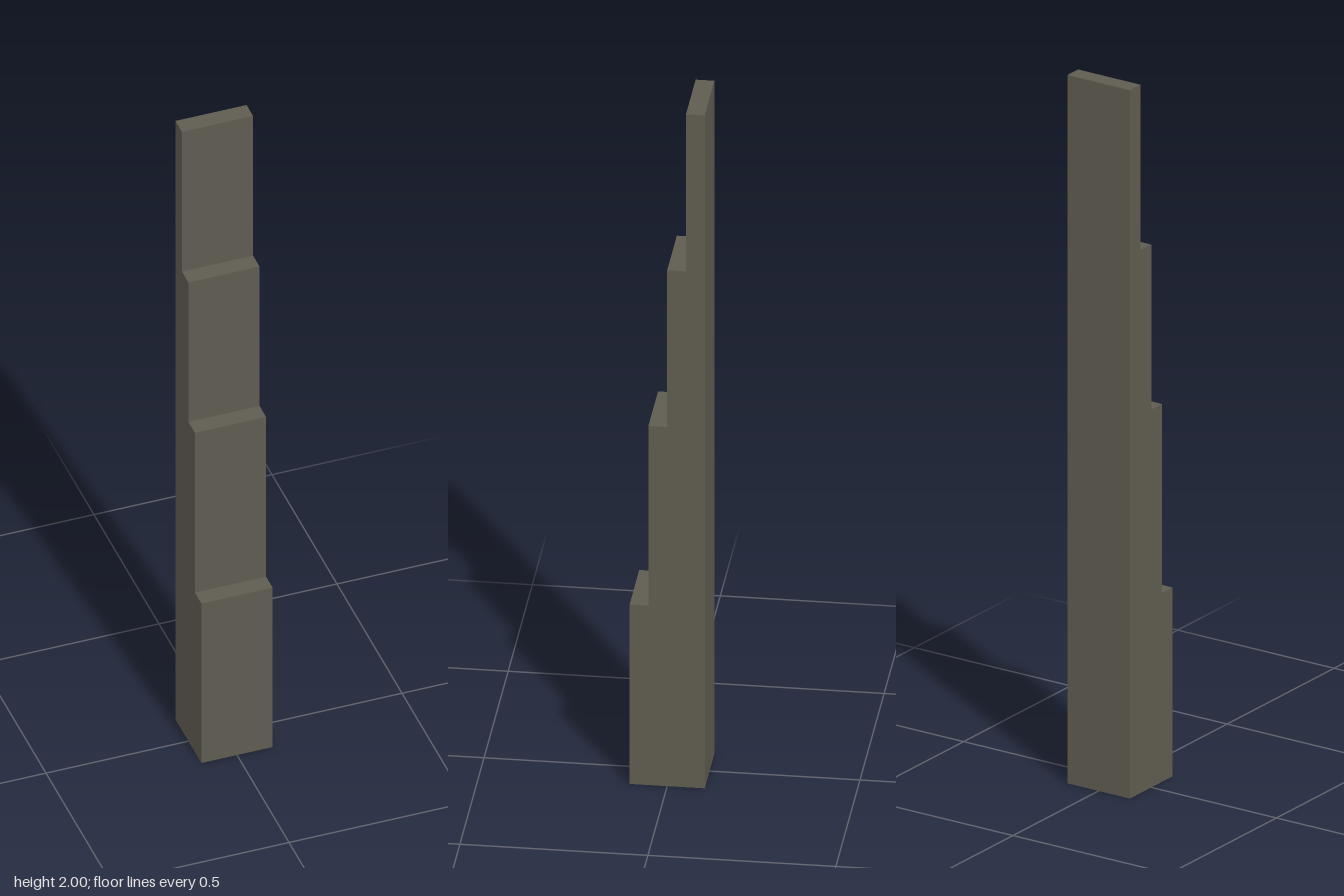
import * as THREE from 'three';

const WIDTH = 0.2;
const BACK = -0.1;
// Each step: front depth (z) and top height (y)
const STEPS = [[0.1, 0.533], [0.05, 1.067], [0, 1.533], [-0.05, 2]];

export function createModel() {
  const stone = new THREE.MeshStandardMaterial({ color: 0x5f5c50 });
  stone.name = 'darkStone';

  // Stepped side profile, drawn with z along the shape's x axis
  const profile = new THREE.Shape();
  profile.moveTo(BACK, 0);
  let base = 0;
  for (const [front, top] of STEPS) {
    profile.lineTo(front, base);
    profile.lineTo(front, top);
    base = top;
  }
  profile.lineTo(BACK, base);
  profile.closePath();

  // Extrude across the width, then turn the profile to face +z
  const geometry = new THREE.ExtrudeGeometry(profile, { depth: WIDTH, bevelEnabled: false });
  geometry.translate(0, 0, -WIDTH / 2);
  geometry.rotateY(-Math.PI / 2);

  const pillar = new THREE.Mesh(geometry, stone);
  pillar.name = 'steppedPillar';

  const model = new THREE.Group();
  model.name = 'steppedButtress';
  model.add(pillar);
  return model;
}
